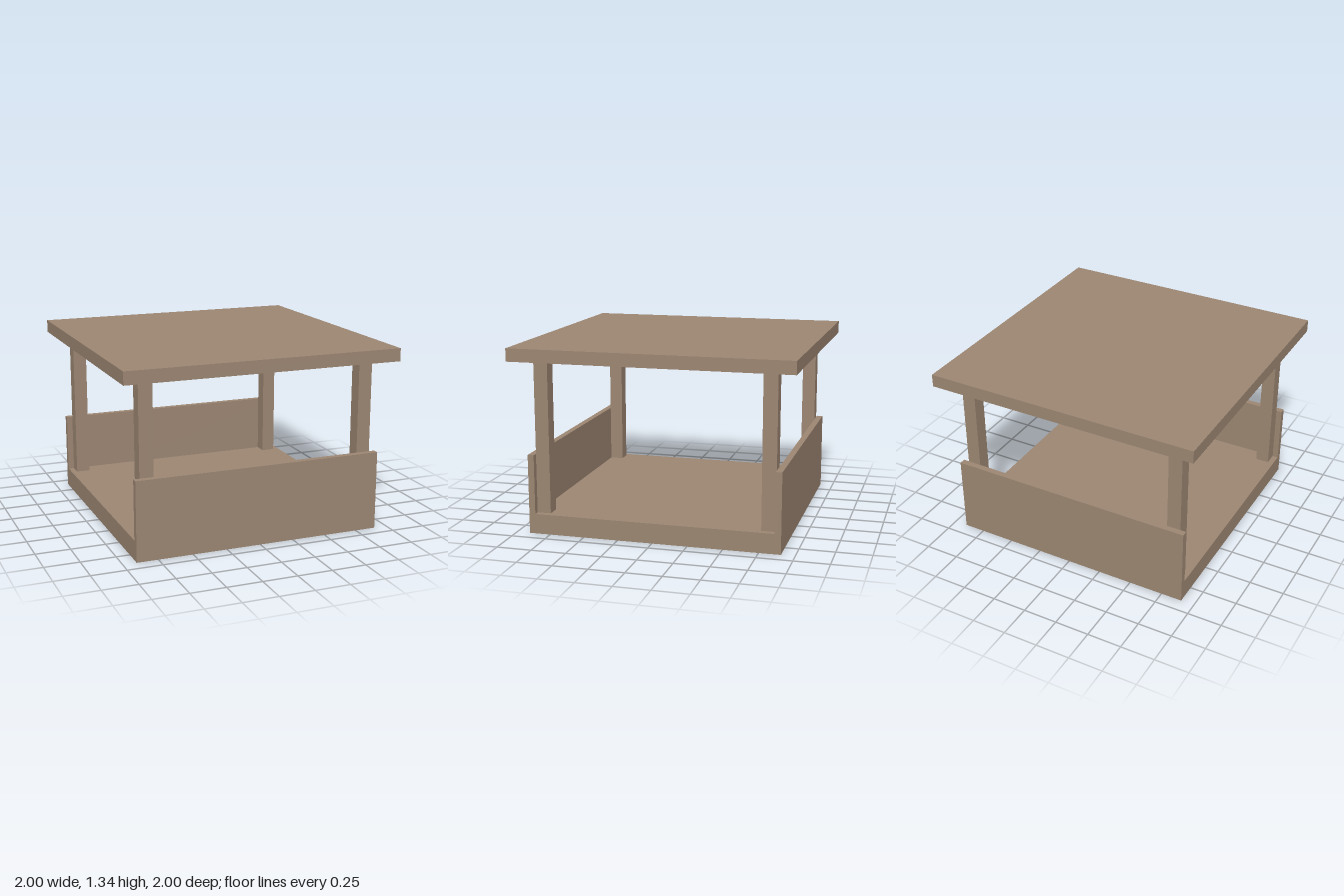
import * as THREE from 'three';

export function createModel() {
  const model = new THREE.Group();
  model.name = 'openShelter';

  const wood = new THREE.MeshStandardMaterial({ color: 0x9c8672 });
  wood.name = 'brownWood';

  // Box spanning bottom to top, centred on x and z
  function addBox(name, width, depth, bottom, top, x = 0, z = 0) {
    const mesh = new THREE.Mesh(new THREE.BoxGeometry(width, top - bottom, depth), wood);
    mesh.name = name;
    mesh.position.set(x, (bottom + top) / 2, z);
    model.add(mesh);
  }

  const floorTop = 0.143, roofBottom = 1.243;

  // Floor slab and overhanging flat roof
  addBox('floor', 1.806, 1.716, 0, floorTop);
  addBox('roof', 2, 2, roofBottom, 1.335);

  // Low walls along the front and back
  addBox('frontWall', 1.806, 0.045, 0, 0.571, 0, 0.8805);
  addBox('backWall', 1.806, 0.045, 0, 0.571, 0, -0.8805);

  // Four corner posts, standing against the walls
  for (const [sx, side] of [[1, 'Left'], [-1, 'Right']]) {
    for (const [sz, end] of [[1, 'front'], [-1, 'back']]) {
      addBox(`${end}${side}Post`, 0.1, 0.1, floorTop, roofBottom, sx * 0.81, sz * 0.808);
    }
  }

  return model;
}
